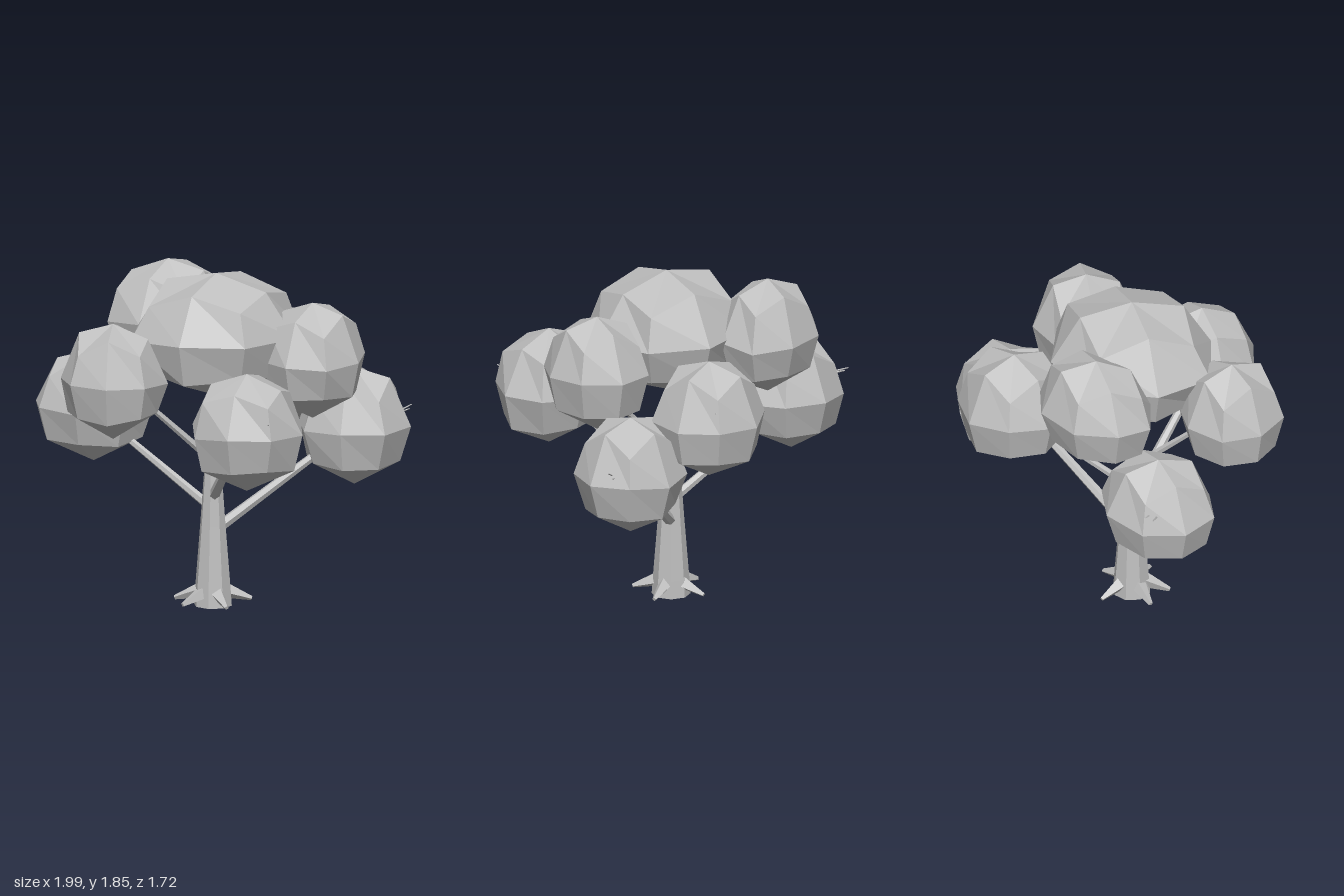
import * as THREE from 'three';

const grey = new THREE.MeshStandardMaterial({ color: 0xbfbfbf, flatShading: true });
grey.name = 'plain grey';

// small seeded random, -1 to 1
function seeded(seed) {
  let s = seed * 7919 + 17;
  return () => {
    s = (s * 16807) % 2147483647;
    return (s / 2147483647) * 2 - 1;
  };
}

function add(parent, geometry, name) {
  const mesh = new THREE.Mesh(geometry, grey);
  mesh.name = name;
  parent.add(mesh);
  return mesh;
}

// tapered limb between two points
function limb(parent, name, from, to, r0, r1, sides) {
  const a = new THREE.Vector3(...from), b = new THREE.Vector3(...to);
  const dir = b.clone().sub(a);
  const mesh = add(parent, new THREE.CylinderGeometry(r1, r0, dir.length(), sides), name);
  mesh.position.copy(a).add(b).multiplyScalar(0.5);
  mesh.quaternion.setFromUnitVectors(new THREE.Vector3(0, 1, 0), dir.normalize());
}

// faceted leaf clump: a coarse ball with a pointed base and a zigzag upper ring
function clump(seed, turn) {
  const rnd = seeded(seed), sides = 8;
  const profile = [[0, -1], [0.87, -0.56], [1.04, 0.03], [0.76, 0.69], [0, 1]]
    .map(([r, y]) => new THREE.Vector2(r, y));
  const n = profile.length;
  const geometry = new THREE.LatheGeometry(profile, sides, turn);
  const jitter = Array.from({ length: sides * n }, () => [rnd(), rnd()]);
  const p = geometry.attributes.position;
  for (let i = 0; i <= sides; i++) {
    for (let j = 1; j < n - 1; j++) {
      const k = i * n + j, [a, b] = jitter[(i % sides) * n + j];
      const zigzag = j === 3 ? (i % 2 ? 1 : -1) : 0;
      const grow = 1 + a * 0.03 - zigzag * 0.13;
      p.setXYZ(k, p.getX(k) * grow, p.getY(k) + b * 0.05 + zigzag * 0.11, p.getZ(k) * grow);
    }
  }
  geometry.computeVertexNormals();
  return geometry;
}

export function createModel() {
  const tree = new THREE.Group();
  tree.name = 'tree';

  // trunk
  const trunk = add(tree, new THREE.LatheGeometry(
    [[0, 0], [0.105, 0], [0.098, 0.1], [0.07, 0.45], [0.052, 0.7], [0.033, 0.91], [0, 0.91]]
      .map(([r, y]) => new THREE.Vector2(r, y)), 8, Math.PI / 8), 'trunk');
  trunk.position.set(-0.1, 0, -0.11);

  // roots
  const roots = new THREE.Group();
  roots.name = 'roots';
  tree.add(roots);
  for (const degrees of [3, 78, 150, 200, 280]) {
    const a = THREE.MathUtils.degToRad(degrees), c = Math.cos(a), s = Math.sin(a);
    limb(roots, 'root', [-0.1 + 0.06 * c, 0.08, -0.11 + 0.06 * s],
      [-0.1 + 0.21 * c, 0.03, -0.11 + 0.21 * s], 0.045, 0.012, 4);
  }

  // branches
  const branches = new THREE.Group();
  branches.name = 'branches';
  tree.add(branches);
  [
    [[-0.09, 0.41, -0.12], [0.5, 0.82, -0.17], 0.032],
    [[-0.11, 0.54, -0.12], [-0.54, 0.88, -0.46], 0.027],
    [[-0.1, 0.6, -0.1], [-0.06, 0.98, 0.4], 0.03],
    [[-0.09, 0.68, -0.12], [0.28, 1.04, -0.42], 0.022],
    [[-0.1, 0.8, -0.11], [-0.48, 1.16, -0.01], 0.023],
    [[-0.1, 0.8, -0.11], [0.28, 1.2, 0.06], 0.02],
    [[-0.08, 0.93, -0.08], [-0.1, 1.18, -0.18], 0.023],
  ].forEach(([from, to, r]) => limb(branches, 'branch', from, to, r, r * 0.7, 6));

  // leaf clumps: centre, radii, turn
  const leaves = new THREE.Group();
  leaves.name = 'leaves';
  tree.add(leaves);
  [
    ['crownClump', [-0.085, 1.51, -0.09], [0.46, 0.34, 0.42], 0.2],
    ['frontClump', [-0.02, 1.125, 0.57], [0.305, 0.325, 0.285], 0.3],
    ['rightFrontClump', [-0.67, 1.305, 0.055], [0.28, 0.32, 0.27], 0.5],
    ['leftFrontClump', [0.41, 1.395, 0.11], [0.28, 0.32, 0.28], 0.1],
    ['leftClump', [0.685, 0.945, -0.2], [0.3, 0.325, 0.285], 0.4],
    ['leftBackClump', [0.375, 1.21, -0.53], [0.305, 0.325, 0.295], 0.6],
    ['backClump', [-0.27, 1.49, -0.605], [0.335, 0.32, 0.26], 0.2],
    ['rightBackClump', [-0.68, 1.02, -0.57], [0.32, 0.31, 0.275], 0.35],
  ].forEach(([name, centre, radii, turn], i) => {
    const mesh = add(leaves, clump(i + 1, turn), name);
    mesh.position.set(...centre);
    mesh.scale.set(...radii);
  });

  // twig tips poking out of the clumps
  const twigs = new THREE.Group();
  twigs.name = 'twigs';
  tree.add(twigs);
  [
    [[0.92, 1.01, -0.2], [1.0, 1.05, -0.2]],
    [[0.92, 1.0, -0.21], [0.99, 1.02, -0.22]],
    [[0.05, 1.2, 0.76], [0.06, 1.23, 0.84]],
    [[-0.83, 1.12, -0.76], [-0.86, 1.14, -0.83]],
    [[-0.79, 1.12, -0.76], [-0.81, 1.14, -0.83]],
    [[0.56, 1.3, -0.63], [0.61, 1.33, -0.67]],
  ].forEach(([from, to]) => limb(twigs, 'twig', from, to, 0.006, 0.003, 4));

  return tree;
}
